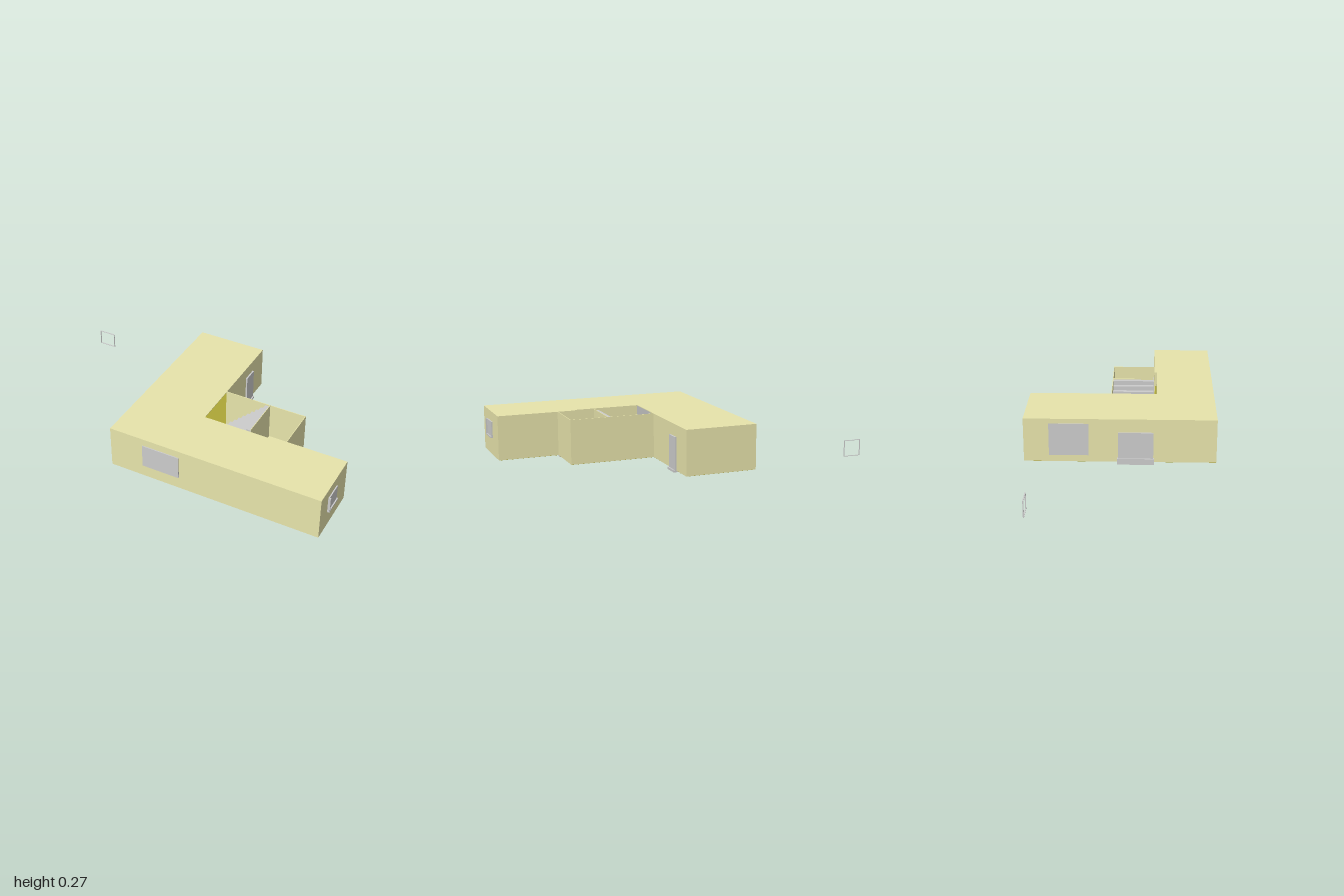
import * as THREE from 'three';

const pale = new THREE.MeshStandardMaterial({ color: 0xe7e4ab });
const olive = new THREE.MeshStandardMaterial({ color: 0xada637 });
const grey = new THREE.MeshStandardMaterial({ color: 0xcccccc });

const BASE = 0.01, TOP = 0.268, T = 0.004;

export function createModel() {
  const house = new THREE.Group();
  house.name = 'house';

  // Box given by its extents on each axis
  function box(name, mat, [x0, x1], [y0, y1], [z0, z1], parent = house) {
    const mesh = new THREE.Mesh(new THREE.BoxGeometry(x1 - x0, y1 - y0, z1 - z0), mat);
    mesh.position.set((x0 + x1) / 2, (y0 + y1) / 2, (z0 + z1) / 2);
    mesh.name = name;
    parent.add(mesh);
    return mesh;
  }

  // Flat slab cut from a plan outline of [x, z] corners
  function slab(name, mat, plan, y, height) {
    const shape = new THREE.Shape(plan.map(([x, z]) => new THREE.Vector2(x, -z)));
    const geo = new THREE.ExtrudeGeometry(shape, { depth: height, bevelEnabled: false });
    geo.rotateX(-Math.PI / 2);
    const mesh = new THREE.Mesh(geo, mat);
    mesh.position.y = y;
    mesh.name = name;
    house.add(mesh);
  }

  // Floor under the whole plan, roof over the L only
  slab('floor', olive, [
    [-0.285, -0.552], [0.13, -0.552], [0.13, -0.071], [0.627, -0.071],
    [0.627, 0.185], [0.98, 0.185], [0.98, 0.536], [-0.285, 0.536],
  ], BASE, 0.003);
  slab('roof', pale, [
    [-0.286, -0.553], [0.131, -0.553], [0.131, 0.2], [0.52, 0.2],
    [0.52, 0.184], [0.981, 0.184], [0.981, 0.537], [-0.286, 0.537],
  ], TOP - 0.003, 0.003);

  // Roofed walls stop under the roof; stairwell walls are open at the top
  const under = [BASE + 0.001, TOP - 0.003], open = [BASE + 0.001, TOP];
  box('frontWall', pale, [-0.286, 0.981], under, [0.537 - T, 0.537]);
  box('rightSideWall', pale, [-0.286, -0.286 + T], under, [-0.553, 0.537 - T]);
  box('backWall', pale, [-0.286 + T, 0.131], under, [-0.553, -0.553 + T]);
  box('wingInnerWall', pale, [0.131 - T, 0.131], under, [-0.553 + T, -0.072]);
  box('frontWingEndWall', pale, [0.981 - T, 0.981], under, [0.184, 0.537 - T]);
  box('frontWingBackWall', pale, [0.52, 0.981 - T], under, [0.184, 0.184 + T]);
  box('stairSideWall', pale, [0.131, 0.52], under, [0.2, 0.2 + T]);
  box('stairwellBackWall', pale, [0.129, 0.628], open, [-0.072, -0.072 + T]);
  box('stairwellEndWall', pale, [0.628 - T, 0.628], open, [-0.072 + T, 0.184]);
  box('stairTopWall', pale, [0.405, 0.405 + T], open, [-0.072 + T, 0.18]);
  box('roomDivider', pale, [0.516, 0.52], under, [0.2, 0.533]);

  // Stairs rising toward the stair top wall
  const stairs = new THREE.Group();
  stairs.name = 'stairs';
  house.add(stairs);
  const steps = 10, run = (0.405 - 0.131) / steps, rise = 0.25 / steps;
  for (let i = 0; i < steps; i++) {
    const x = 0.131 + i * run;
    box('step', grey, [x, x + run], [BASE + 0.003, BASE + (i + 1) * rise], [-0.068, 0.18], stairs);
  }

  // Windows
  box('frontWindow', grey, [-0.08, 0.147], [0.085, 0.225], [0.53, 0.543]);
  box('sideWindow', grey, [-0.29, -0.28], [0.05, 0.24], [-0.41, -0.185]);
  box('endWindow', grey, [0.97, 0.988], [0.12, 0.21], [0.323, 0.437]);
  box('endWindowSill', grey, [0.97, 0.995], [0.115, 0.123], [0.32, 0.44]);
  box('endWindowJamb', grey, [0.97, 0.995], [0.12, 0.21], [0.43, 0.437]);

  // Outer doors with their thresholds
  box('wingDoor', grey, [0.12, 0.14], [BASE, 0.2], [-0.415, -0.325]);
  box('wingDoorSill', grey, [0.115, 0.148], [0.002, 0.014], [-0.415, -0.325]);
  box('slidingDoor', grey, [-0.295, -0.276], [BASE, 0.19], [-0.02, 0.18]);
  box('slidingDoorSill', grey, [-0.303, -0.27], [0, 0.035], [-0.025, 0.185]);

  // Inner doors and thresholds
  box('hallDoorFrame', grey, [0.53, 0.618], [BASE + 0.003, 0.2], [0.176, 0.186]);
  box('hallDoorLeaf', grey, [0.614, 0.62], [BASE + 0.003, 0.12], [0.12, 0.176]);
  box('hallDoorSill', grey, [0.525, 0.622], [0, 0.014], [0.17, 0.205]);
  box('stairDoorSill', grey, [0.115, 0.148], [0, 0.014], [-0.01, 0.18]);
  box('roomDoorSill', grey, [0.503, 0.535], [0, 0.014], [0.325, 0.44]);

  // Loose empty frame standing apart from the house
  const frame = new THREE.Group();
  frame.name = 'looseFrame';
  house.add(frame);
  const depth = [-0.478, -0.472], bar = 0.003;
  for (const x of [-1, -0.895 - bar]) box('frameSide', grey, [x, x + bar], [BASE, 0.105], depth, frame);
  for (const y of [BASE, 0.105 - bar]) box('frameRail', grey, [-1 + bar, -0.895 - bar], [y, y + bar], depth, frame);

  return house;
}
